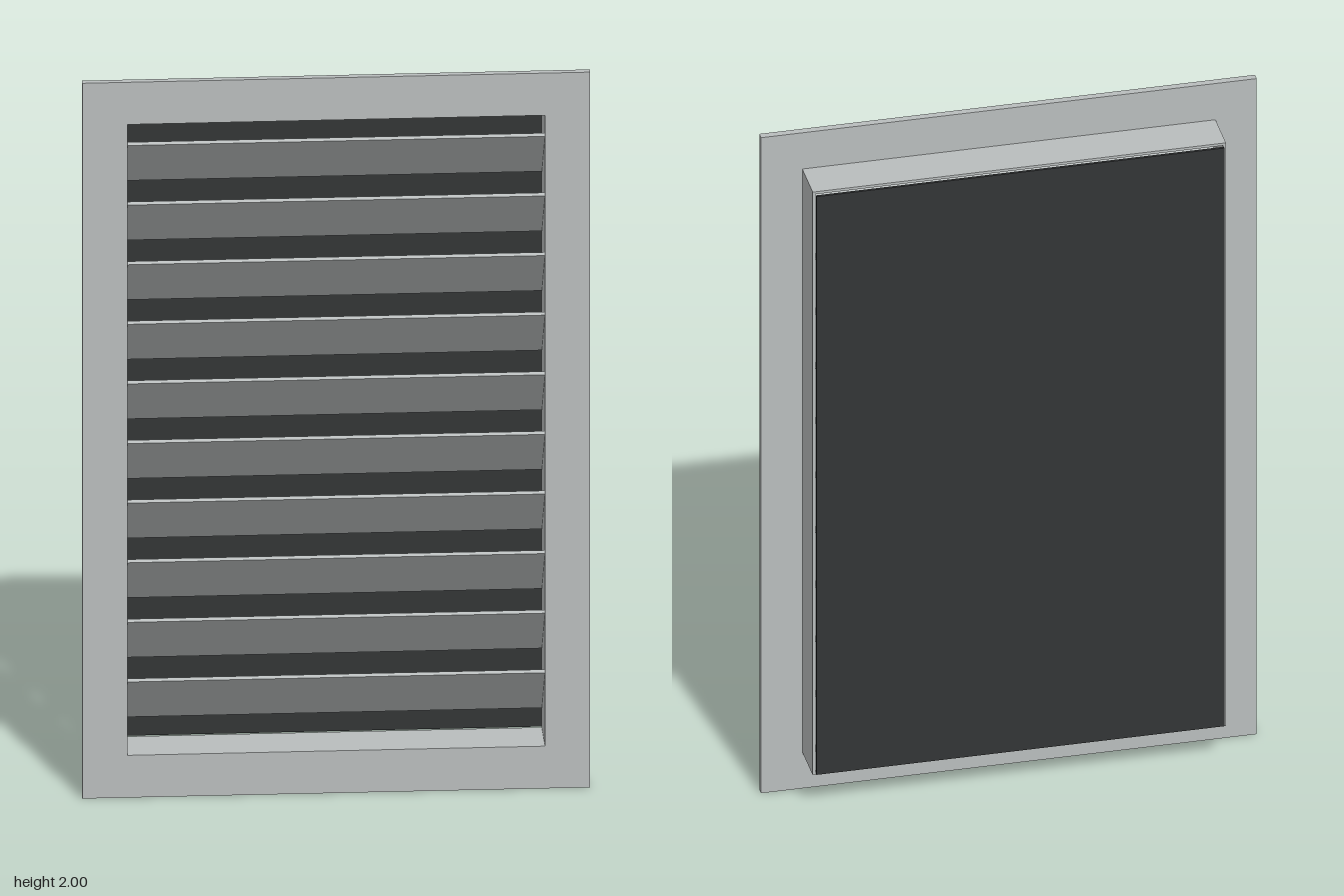
import * as THREE from 'three';

const W = 1.333, H = 2;            // outer flange
const OPEN_W = 1.096, OPEN_H = 1.764; // clear opening
const CY = H / 2;

// Rectangular ring extruded from z0 to z1
function ring(w, h, z0, z1) {
  const rect = (T, a, b) => new T([
    new THREE.Vector2(-a / 2, -b / 2), new THREE.Vector2(a / 2, -b / 2),
    new THREE.Vector2(a / 2, b / 2), new THREE.Vector2(-a / 2, b / 2),
  ]);
  const shape = rect(THREE.Shape, w, h);
  shape.holes.push(rect(THREE.Path, OPEN_W, OPEN_H));
  const geo = new THREE.ExtrudeGeometry(shape, { depth: z1 - z0, bevelEnabled: false });
  return geo.translate(0, CY, z0);
}

export function createModel() {
  const metal = new THREE.MeshStandardMaterial({ color: 0xb9bdbd });
  metal.name = 'light grey metal';
  const dark = new THREE.MeshStandardMaterial({ color: 0x333536 });
  dark.name = 'dark screen';

  const model = new THREE.Group();
  model.name = 'louverVent';
  const add = (name, geo, mat, parent = model) => {
    const mesh = new THREE.Mesh(geo, mat);
    mesh.name = name;
    parent.add(mesh);
    return mesh;
  };

  // Front flange and the thin-walled duct behind it
  add('flange', ring(W, H, 0.057, 0.077), metal);
  add('duct', ring(1.111, 1.779, -0.064, 0.057), metal);

  // Dark screen, slightly behind the duct
  add('backScreen', new THREE.BoxGeometry(OPEN_W, OPEN_H, 0.007).translate(0, CY, -0.0735), dark);

  // Ten slats, front edge high and back edge low
  const slats = new THREE.Group();
  slats.name = 'slats';
  model.add(slats);
  const slatGeo = new THREE.BoxGeometry(OPEN_W, 0.01, 0.192);
  for (let i = 0; i < 10; i++) {
    const slat = add('slat' + (i + 1), slatGeo, metal, slats);
    slat.position.set(0, 0.252 + i / 6, 0.005);
    slat.rotation.x = -THREE.MathUtils.degToRad(49);
  }
  return model;
}
